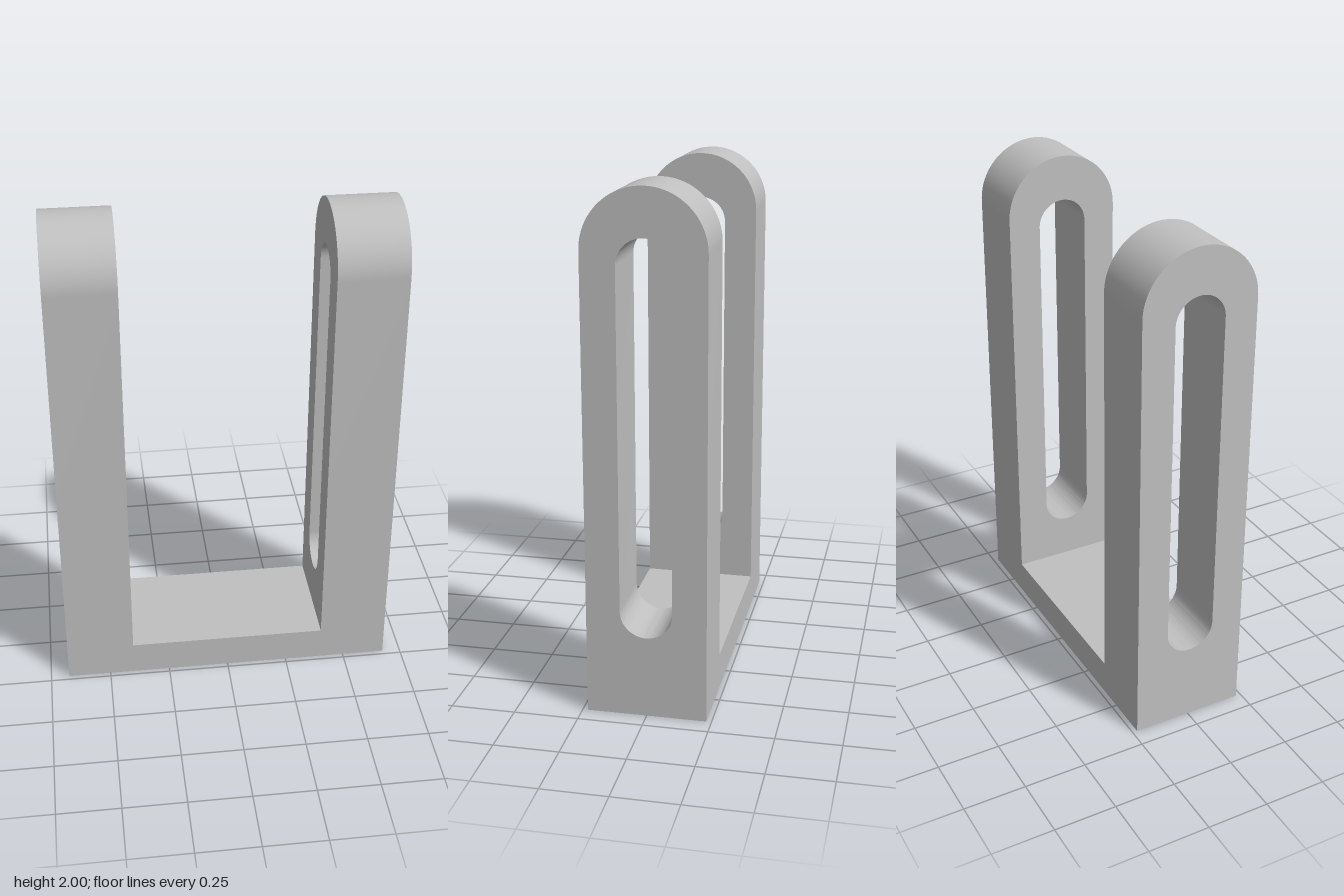
import * as THREE from 'three';
import { toCreasedNormals } from 'three/addons/utils/BufferGeometryUtils.js';

const HALF_DEPTH = 0.23;   // half size along z, also the radius of the arm tops
const INNER = 0.4;         // inner face of each arm
const OUTER = 0.675;       // outer face of each arm
const HEIGHT = 2;
const BASE = 0.14;
const SLOT_R = 0.1;
const SLOT_LOW = 0.42;     // centres of the slot's round ends
const SLOT_HIGH = 1.72;

// Round-topped arm profile with a long slot, extruded along x
function armGeometry() {
  const shape = new THREE.Shape();
  shape.moveTo(-HALF_DEPTH, 0);
  shape.lineTo(HALF_DEPTH, 0);
  shape.absarc(0, HEIGHT - HALF_DEPTH, HALF_DEPTH, 0, Math.PI, false);
  shape.closePath();

  const slot = new THREE.Path();
  slot.absarc(0, SLOT_HIGH, SLOT_R, 0, Math.PI, false);
  slot.absarc(0, SLOT_LOW, SLOT_R, Math.PI, Math.PI * 2, false);
  slot.closePath();
  shape.holes.push(slot);

  const geometry = new THREE.ExtrudeGeometry(shape, {
    depth: OUTER - INNER, bevelEnabled: false, curveSegments: 32,
  });
  geometry.translate(0, 0, -(OUTER - INNER) / 2);
  geometry.rotateY(Math.PI / 2);
  return toCreasedNormals(geometry, Math.PI / 6);
}

export function createModel() {
  const model = new THREE.Group();
  model.name = 'slottedBracket';
  const grey = new THREE.MeshStandardMaterial({ color: 0xc0c0c0 });
  grey.name = 'grey metal';

  // Two upright arms
  const arm = armGeometry();
  for (const [name, side] of [['leftArm', 1], ['rightArm', -1]]) {
    const mesh = new THREE.Mesh(arm, grey);
    mesh.name = name;
    mesh.position.x = side * (INNER + OUTER) / 2;
    model.add(mesh);
  }

  // Flat bar joining the arms at the bottom
  const base = new THREE.Mesh(new THREE.BoxGeometry(INNER * 2, BASE, HALF_DEPTH * 2), grey);
  base.name = 'baseBar';
  base.position.y = BASE / 2;
  model.add(base);

  return model;
}
